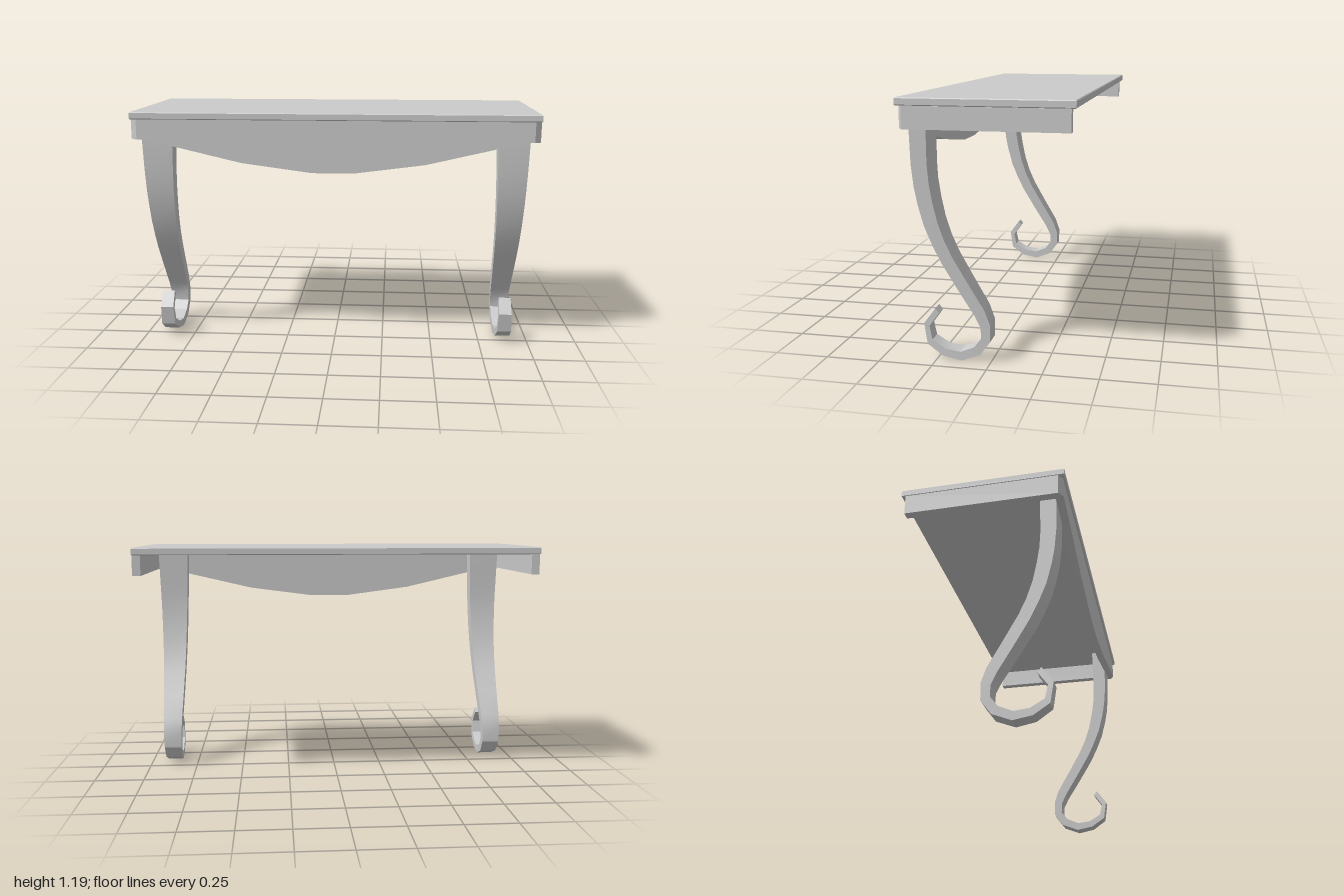
import * as THREE from 'three';
import { toCreasedNormals } from 'three/addons/utils/BufferGeometryUtils.js';

const material = new THREE.MeshStandardMaterial({ color: 0xcccccc });

function part(name, geometry) {
  const mesh = new THREE.Mesh(geometry, material);
  mesh.name = name;
  return mesh;
}

const outline = (points) => new THREE.Shape(points.map(([x, y]) => new THREE.Vector2(x, y)));

// Extrudes an outline given in plan (x, z) upwards from y
function extrudePlan(points, y, height) {
  const geometry = new THREE.ExtrudeGeometry(outline(points.map(([x, z]) => [x, -z])), { depth: height, bevelEnabled: false });
  return geometry.rotateX(-Math.PI / 2).translate(0, y, 0);
}

// Leg profile from top to scroll tip: [front z, front y, back z, back y]
const LEG = [
  [0.343, 1.155, 0.267, 1.155], [0.343, 1.03, 0.267, 1.03], [0.34, 0.896, 0.268, 0.905],
  [0.33, 0.796, 0.262, 0.815], [0.315, 0.717, 0.249, 0.735], [0.29, 0.623, 0.229, 0.645],
  [0.255, 0.538, 0.2, 0.56], [0.217, 0.46, 0.165, 0.485], [0.145, 0.34, 0.098, 0.37],
  [0.07, 0.22, 0.025, 0.248], [0.044, 0.167, 0, 0.18], [0.041, 0.113, 0, 0.1],
  [0.075, 0.069, 0.047, 0.035], [0.14, 0.041, 0.135, 0], [0.21, 0.05, 0.223, 0.016],
  [0.273, 0.088, 0.296, 0.066], [0.286, 0.151, 0.311, 0.163], [0.24, 0.214, 0.258, 0.236],
];

// Sweeps a rectangle down the profile, narrowing evenly along its length
function legGeometry() {
  const lengths = [0];
  for (let i = 1; i < LEG.length; i++) {
    const [a, b] = [LEG[i - 1], LEG[i]];
    lengths.push(lengths[i - 1] + Math.hypot(a[0] + a[2] - b[0] - b[2], a[1] + a[3] - b[1] - b[3]) / 2);
  }
  const positions = [];
  const index = [];
  LEG.forEach(([fz, fy, bz, by], i) => {
    const w = THREE.MathUtils.lerp(0.08, 0.03, lengths[i] / lengths.at(-1));
    positions.push(w, fy, fz, -w, fy, fz, -w, by, bz, w, by, bz);
    if (i === 0) return;
    for (let k = 0; k < 4; k++) {
      const n = (k + 1) % 4;
      const [a, b] = [(i - 1) * 4, i * 4];
      index.push(a + k, a + n, b + n, a + k, b + n, b + k);
    }
  });
  const e = (LEG.length - 1) * 4;
  index.push(3, 2, 1, 3, 1, 0, e, e + 1, e + 2, e, e + 2, e + 3);
  const geometry = new THREE.BufferGeometry();
  geometry.setAttribute('position', new THREE.Float32BufferAttribute(positions, 3));
  geometry.setIndex(index);
  return toCreasedNormals(geometry.toNonIndexed(), THREE.MathUtils.degToRad(25));
}

export function createModel() {
  const table = new THREE.Group();
  table.name = 'consoleTable';

  // Top slab with a fine bevelled edge
  const b = 0.004;
  const [hx, hz] = [1 - b, 0.39 - b];
  const slab = new THREE.ExtrudeGeometry(outline([[-hx, -hz], [hx, -hz], [hx, hz], [-hx, hz]]), {
    depth: 0.035 - 2 * b, bevelThickness: b, bevelSize: b, bevelSegments: 1,
  });
  table.add(part('tableTop', slab.rotateX(-Math.PI / 2).translate(0, 1.155 + b, 0)));

  // Front apron with a faceted, bowed lower edge
  const bow = [[0.97, 1.055], [0.95, 1.055], [0.8, 1.025], [0.45, 0.943], [0.1, 0.897]];
  const lower = [...bow.map(([x, y]) => [-x, y]), ...bow.toReversed()];
  const apron = new THREE.ExtrudeGeometry(outline([...lower, [0.97, 1.155], [-0.97, 1.155]]), { depth: 0.04, bevelEnabled: false });
  table.add(part('frontApron', apron.translate(0, 0, 0.34)));

  // Side aprons with chamfered front corners, and the scrolled legs
  const leg = legGeometry();
  for (const [side, s] of [['left', 1], ['right', -1]]) {
    const plan = [[0.97, 0.38], [1, 0.36], [1, -0.37], [0.96, -0.37], [0.96, 0.34], [0.97, 0.34]];
    table.add(part(side + 'Apron', extrudePlan(plan.map(([x, z]) => [s * x, z]), 1.055, 0.1)));
    const mesh = part(side + 'Leg', leg);
    mesh.position.x = s * 0.878;
    table.add(mesh);
  }
  return table;
}
